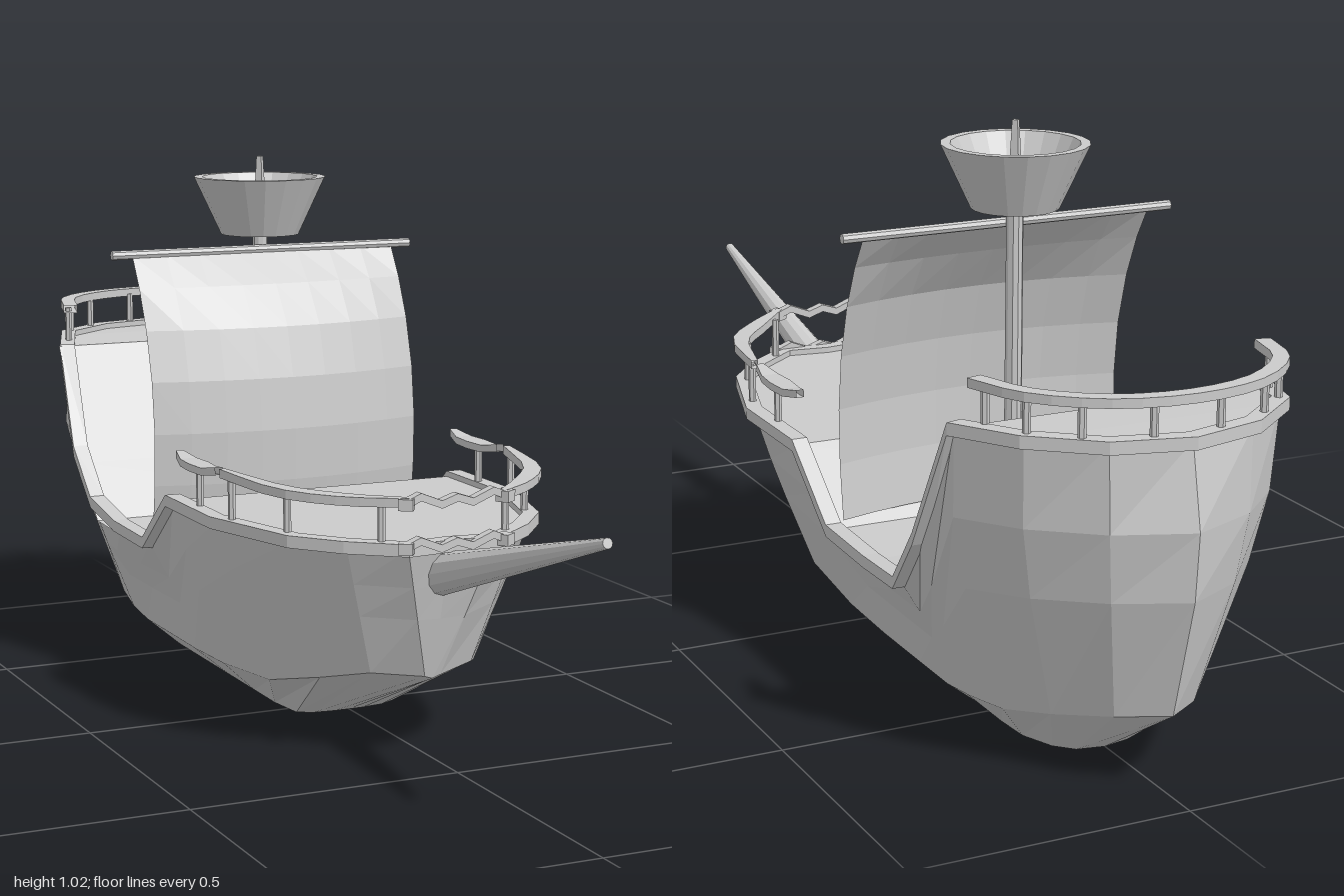
import * as THREE from 'three';

const mat = new THREE.MeshStandardMaterial({ color: 0xcccccc, flatShading: true });
const thin = new THREE.MeshStandardMaterial({ color: 0xcccccc, flatShading: true, side: THREE.DoubleSide });
const V = (x, y, z) => new THREE.Vector3(x, y, z);

// Skin a grid of points: rows follow one another, each row has the same count.
function skin(rows, closeRows, closeCols) {
  const n = rows[0].length, pos = [], idx = [];
  rows.forEach(r => r.forEach(p => pos.push(p.x, p.y, p.z)));
  for (let i = 0; i < rows.length - (closeRows ? 0 : 1); i++) {
    for (let j = 0; j < n - (closeCols ? 0 : 1); j++) {
      const i2 = (i + 1) % rows.length, j2 = (j + 1) % n;
      const a = i * n + j, b = i2 * n + j, c = i2 * n + j2, d = i * n + j2;
      idx.push(a, b, c, a, c, d);
    }
  }
  const g = new THREE.BufferGeometry();
  g.setAttribute('position', new THREE.Float32BufferAttribute(pos, 3));
  g.setIndex(idx);
  g.computeVertexNormals();
  return g;
}

// Sweep a level rectangle (w wide, h high) along a path.
function sweep(path, w, h, closed = false, width = () => 1) {
  const n = path.length;
  const rows = path.map((p, i) => {
    const a = path[closed ? (i + n - 1) % n : Math.max(i - 1, 0)];
    const b = path[closed ? (i + 1) % n : Math.min(i + 1, n - 1)];
    const t = b.clone().sub(a).setY(0).normalize();
    const s = V(-t.z, 0, t.x).multiplyScalar(w / 2 * width(i / (n - 1)));
    const at = (k, y) => p.clone().addScaledVector(s, k).add(V(0, y, 0));
    return [at(1, -h / 2), at(1, h / 2), at(-1, h / 2), at(-1, -h / 2)];
  });
  return skin(rows, closed, true);
}

// Straight round bar between two points.
function bar(a, b, ra, rb, sides) {
  const d = b.clone().sub(a);
  const m = new THREE.Mesh(new THREE.CylinderGeometry(rb, ra, d.length(), sides), mat);
  m.position.copy(a).add(b).multiplyScalar(0.5);
  m.quaternion.setFromUnitVectors(V(0, 1, 0), d.normalize());
  return m;
}

// Half hull from bow to stern: keel x,z | chine x,y,z | rim x,y,z | bulge
const STATIONS = [
  [0, 0.05, 0, 0.145, 0.40, 0, 0.40, 0.465, 0],
  [0.03, 0.05, 0.015, 0.15, 0.40, 0.085, 0.40, 0.475, 0],
  [0.07, 0.045, 0.10, 0.155, 0.355, 0.17, 0.40, 0.405, 0],
  [0.10, 0.03, 0.155, 0.13, 0.26, 0.235, 0.40, 0.325, 0],
  [0.11, -0.05, 0.185, 0.09, 0.10, 0.295, 0.40, 0.12, 0.004],
  [0.11, -0.15, 0.195, 0.075, -0.10, 0.295, 0.40, -0.10, 0.004],
  [0.11, -0.28, 0.195, 0.07, -0.25, 0.29, 0.28, -0.24, -0.012],
  [0.11, -0.38, 0.195, 0.07, -0.40, 0.29, 0.275, -0.40, -0.012],
  [0.11, -0.46, 0.195, 0.07, -0.51, 0.293, 0.28, -0.53, -0.01],
  [0.11, -0.55, 0.195, 0.08, -0.59, 0.297, 0.385, -0.615, 0.006],
  [0.105, -0.62, 0.18, 0.09, -0.69, 0.297, 0.61, -0.74, 0.028],
  [0.08, -0.68, 0.14, 0.11, -0.785, 0.235, 0.615, -0.86, 0.024],
  [0.05, -0.71, 0.075, 0.13, -0.88, 0.13, 0.615, -0.945, 0.026],
  [0, -0.72, 0, 0.14, -0.94, 0, 0.615, -0.978, 0.04],
];
// The right gunwale sweeps up more softly: station index -> x,y shift of its rim
const RIGHT_RIM = { 6: [0, 0.012], 7: [0, 0.02], 8: [0, 0.04], 9: [0, 0.025], 10: [0.018, -0.008] };

export function createModel() {
  const ship = new THREE.Group();
  const add = (name, object) => {
    const o = object.isObject3D ? object : new THREE.Mesh(object, thin);
    o.name = name;
    ship.add(o);
    return o;
  };
  const flip = p => V(-p.x, p.y, p.z);

  // Hull skin, its flat bottom and the stepped deck
  const half = STATIONS.map(([kx, kz, cx, cy, cz, rx, ry, rz, bulge]) => {
    const chine = V(cx, cy, cz), rim = V(rx, ry, rz);
    const out = V(rx, 0, Math.min(0, rz + 0.74)).normalize().multiplyScalar(bulge);
    const mid = t => chine.clone().lerp(rim, t).add(out);
    return [V(kx, 0, kz), chine, mid(0.45), mid(0.7), rim];
  });
  const rightHalf = half.map((col, i) => {
    const points = col.map(flip);
    const [dx, dy] = RIGHT_RIM[i] ?? [0, 0];
    points[4].add(V(dx, dy, 0));
    return points;
  });
  const loop = [...half, ...rightHalf.slice(1, -1).reverse()];
  add('hull', skin(loop, true, false));
  add('hullBottom', skin(half.map(c => [c[0], flip(c[0])]), false, false));
  add('deck', skin(half.map(c => [flip(c[4]), c[4]]).reverse(), false, false));
  add('gunwale', sweep(loop.map(c => c[4]), 0.03, 0.022, true));

  // Bow and stern railings, mirrored left and right
  const lens = t => 0.35 + 0.65 * Math.sin(Math.PI * t);
  for (const s of [1, -1]) {
    const side = s > 0 ? 'left' : 'right';
    const P = (x, y, z) => V(s * x, y, z);
    const post = (name, x, y, z, h) =>
      add(name, bar(P(x, y, z), P(x, y + h, z), 0.007, 0.007, 6));
    const bow = new THREE.CatmullRomCurve3(
      [P(0.09, 0.485, 0.49), P(0.17, 0.482, 0.41), P(0.245, 0.484, 0.31), P(0.288, 0.49, 0.13)]);
    add(side + 'BowRail', sweep(bow.getPoints(8), 0.034, 0.016, false, lens));
    const waist = [0.11, 0.06, 0.01, -0.04, -0.085].map((z, i) => P(0.286, i % 4 ? 0.482 : 0.49, z));
    add(side + 'WaistRail', sweep(waist, 0.04, 0.014, false, lens));
    for (const [x, z] of [[0.12, 0.44], [0.235, 0.30], [0.282, 0.16], [0.287, 0.02]])
      post(side + 'BowPost', x, 0.40, z, 0.085);
    for (const [x, z] of [[0.262, -0.78], [0.23, -0.86], [0.165, -0.92], [0.06, -0.96]])
      post(side + 'SternPost', x, 0.61, z, 0.075);
    for (const y of [0.405, 0.482]) {
      const knob = add(side + 'BowKnob', new THREE.BoxGeometry(0.026, 0.02, 0.025));
      knob.position.set(s * 0.095, y, 0.487);
      knob.rotation.y = s * 0.6;
    }
  }
  const sternRail = new THREE.CatmullRomCurve3([V(0.267, 0.685, -0.75), V(0.23, 0.688, -0.865),
    V(0.13, 0.688, -0.95), V(0, 0.688, -0.978), V(-0.13, 0.688, -0.95),
    V(-0.23, 0.688, -0.865), V(-0.267, 0.685, -0.75)]);
  add('sternRail', sweep(sternRail.getPoints(18), 0.028, 0.016));

  // Wavy rails across the bow
  const swag = [-0.09, -0.07, -0.03, 0, 0.03, 0.07, 0.09];
  const swagY = [0.485, 0.493, 0.477, 0.487, 0.477, 0.493, 0.485];
  for (const drop of [0, 0.077])
    add('bowCrossRail', sweep(swag.map((x, i) => V(x, swagY[i] - drop, 0.485)), 0.018, 0.014));

  // Bowsprit
  add('bowsprit', bar(V(0, 0.34, 0.43), V(0, 0.505, 0.997), 0.038, 0.009, 12));

  // Mast, pointed top and yard
  const mz = -0.37;
  add('mast', bar(V(0, 0.27, mz), V(0, 0.88, mz), 0.016, 0.015, 10));
  add('mastTip', bar(V(0, 0.87, mz), V(0, 1.018, mz), 0.016, 0.007, 4));
  add('yard', bar(V(-0.318, 0.836, mz + 0.018), V(0.318, 0.836, mz + 0.018), 0.009, 0.009, 8));

  // Hollow lookout basket
  const basket = [[0, 0.865], [0.077, 0.865], [0.13, 0.978], [0.113, 0.978], [0.064, 0.877], [0, 0.877]]
    .map(([r, y]) => new THREE.Vector2(r, y));
  add('lookoutBasket', new THREE.LatheGeometry(basket, 20)).position.z = mz;

  // Sail bellying forward from the yard
  const edge = new THREE.CatmullRomCurve3([V(0, 0.835, -0.35), V(0, 0.74, -0.295),
    V(0, 0.60, -0.25), V(0, 0.45, -0.238), V(0, 0.30, -0.255)]);
  const sail = edge.getPoints(6).map((p, i) => {
    const belly = 0.042 * Math.min(1, i / 2);
    return Array.from({ length: 9 }, (_, j) => {
      const u = j / 4 - 1;
      return V(u * 0.277, p.y, p.z + belly * (1 - u * u));
    });
  });
  add('sail', skin(sail, false, false));

  return ship;
}
